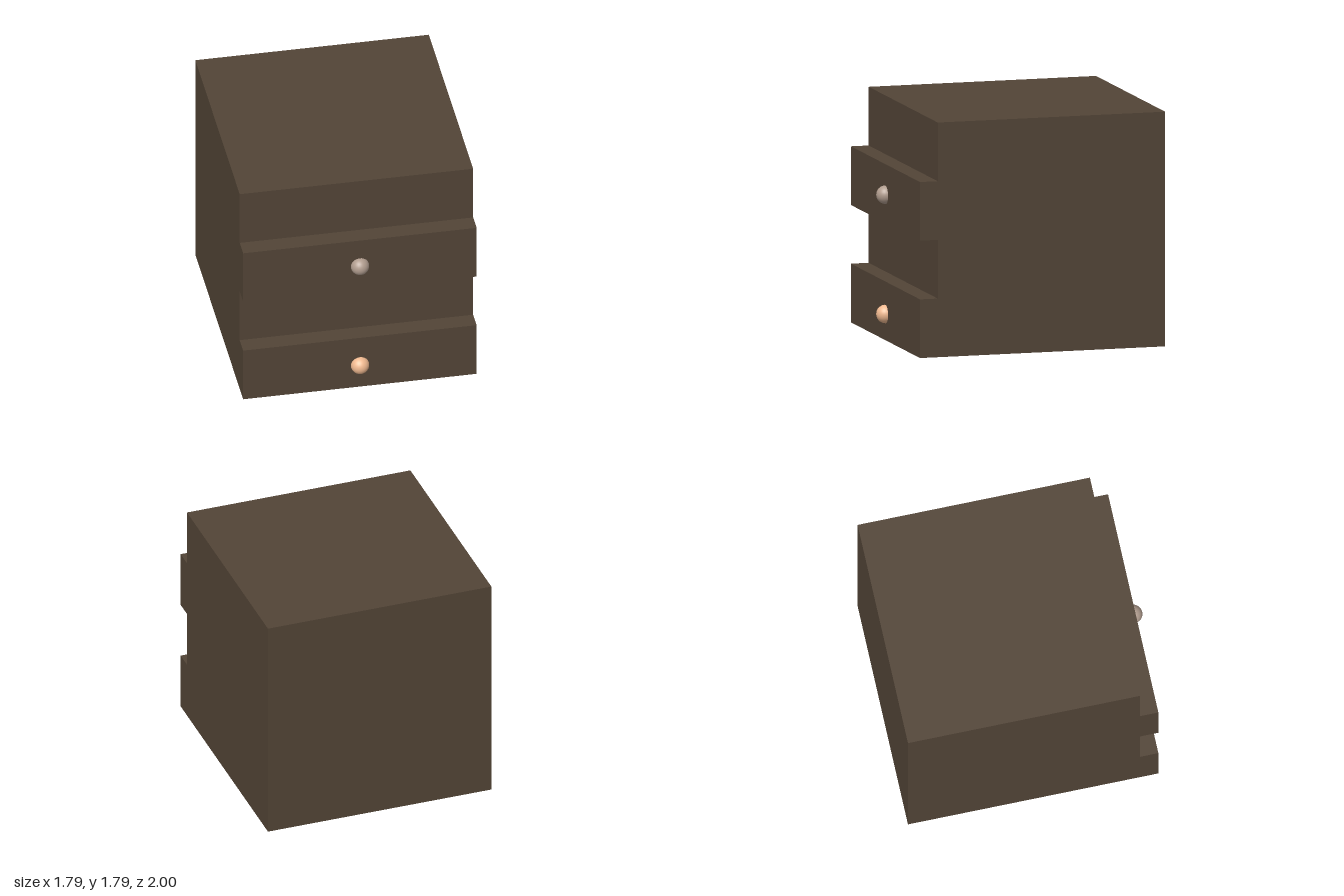
import * as THREE from 'three';

const WIDTH = 1.79, HEIGHT = 1.79, ROW = HEIGHT / 4;
const BACK = -1, FACE = 0.79, DRAWER_FACE = 0.93;

export function createModel() {
  const model = new THREE.Group();
  model.name = 'drawerCabinet';

  // Cabinet: stepped side profile (z, y), with the first and third rows pulled out as drawers
  const profile = new THREE.Shape([
    [BACK, 0], [DRAWER_FACE, 0], [DRAWER_FACE, ROW], [FACE, ROW],
    [FACE, 2 * ROW], [DRAWER_FACE, 2 * ROW], [DRAWER_FACE, 3 * ROW], [FACE, 3 * ROW],
    [FACE, HEIGHT], [BACK, HEIGHT],
  ].map(([z, y]) => new THREE.Vector2(z, y)));
  const cabinetGeometry = new THREE.ExtrudeGeometry(profile, { depth: WIDTH, bevelEnabled: false });
  cabinetGeometry.translate(0, 0, -WIDTH / 2).rotateY(-Math.PI / 2);
  const cabinet = new THREE.Mesh(cabinetGeometry, new THREE.MeshStandardMaterial({ color: 0x524436 }));
  cabinet.name = 'cabinetWithDrawers';
  model.add(cabinet);

  // Round knobs, half sunk into the drawer fronts
  const knobGeometry = new THREE.SphereGeometry(0.07, 32, 16);
  const knobs = [
    { name: 'lowerKnob', y: 0.2, color: 0xf0b990 },
    { name: 'upperKnob', y: 1.11, color: 0xb09c8e },
  ];
  for (const { name, y, color } of knobs) {
    const knob = new THREE.Mesh(knobGeometry, new THREE.MeshStandardMaterial({ color }));
    knob.name = name;
    knob.position.set(0, y, DRAWER_FACE);
    model.add(knob);
  }
  return model;
}
